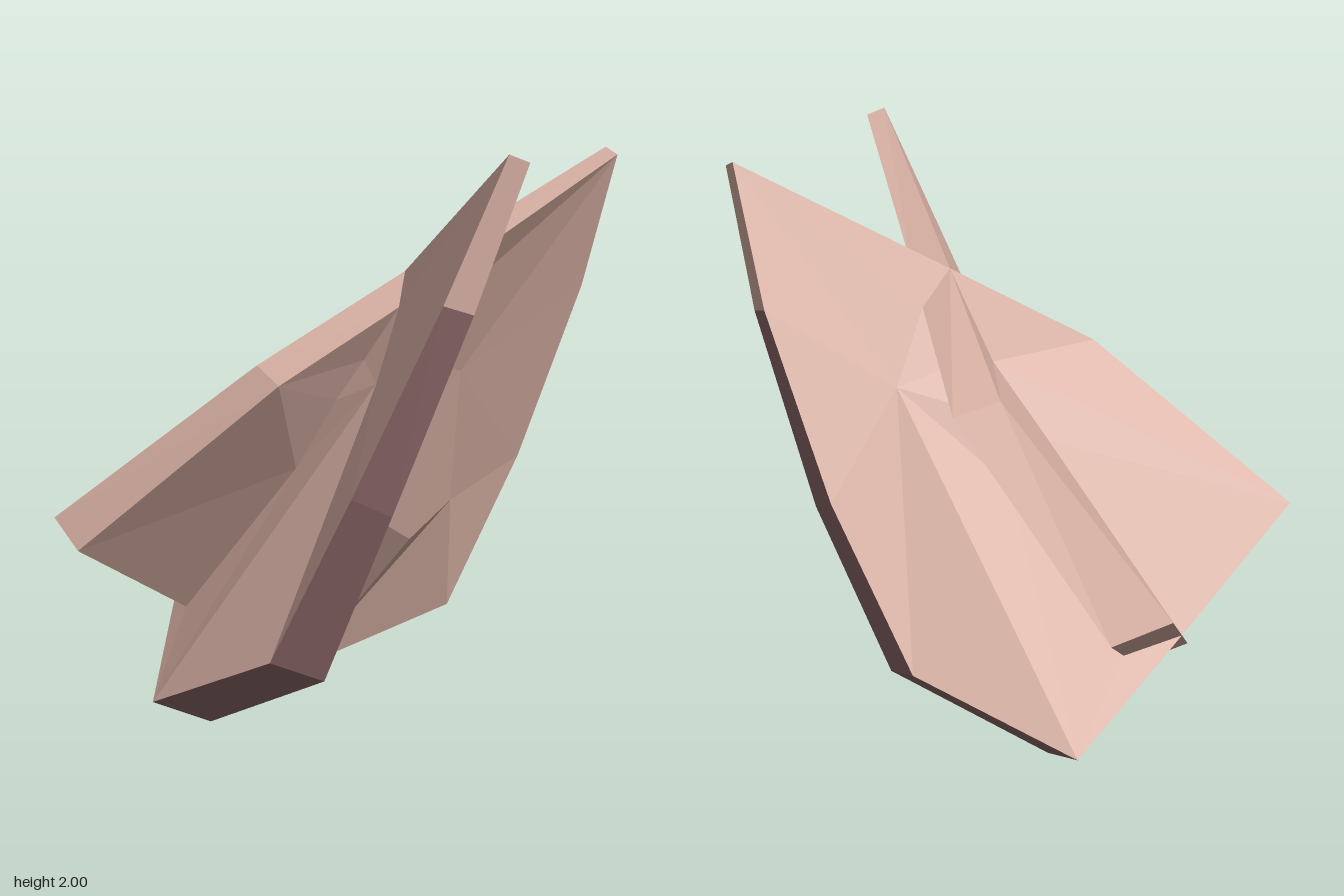
import * as THREE from 'three';

// Corner points of the +z half; the other half is mirrored across z = 0
const P = {
  // upper blade: tip, rim, and the valley between the two upper blades
  tipIn: [-0.855, 0.72, 0.525], tipOut: [-0.69, 0.64, 0.63],
  rimIn: [-0.14, 1.28, 0.35], rimOut: [-0.01, 1.23, 0.44],
  crown: [0.25, 1.585, 0], crownOut: [0.285, 1.475, 0.13],
  v0: [-0.67, 0.38, 0], v1: [-0.14, 1.015, 0], v2: [0.08, 1.27, 0],
  // side valley where the blades meet
  j0: [-0.53, 0.35, 0.18], j1: [-0.08, 0.9, 0.18], j2: [0.07, 1.15, 0.17], j3: [0.16, 1.29, 0.14],
  // lower blade: outer (o) and inner (i) rim, from the top tip down
  o0: [0.80, 2.0, 0.475], i0: [0.855, 1.975, 0.44],
  o1: [0.63, 1.54, 0.575], i1: [0.71, 1.51, 0.52],
  o2: [0.35, 0.92, 0.64], i2: [0.46, 0.86, 0.57],
  o3: [0.05, 0.34, 0.63], i3: [0.20, 0.27, 0.53],
  o4: [-0.50, 0.08, 0.47], i4: [-0.33, 0, 0.36],
  m: [0.285, 1.24, 0.31],
  // lower blade: recessed underside and its centre line
  d: [0.41, 1.585, 0], w2: [0.21, 1.30, 0], w1: [0, 0.77, 0], n: [-0.47, 0.235, 0],
  k1: [0.13, 0.56, 0.33], k2: [0.25, 0.70, 0.43], k3: [0.345, 1.21, 0.28],
};

// Each part is a list of polygons, corners counter-clockwise from outside
const parts = {
  upperBladeInside: ['tipIn v1 v0', 'tipIn rimIn v2 v1', 'rimIn crown v2'],
  upperBladeRim: ['tipIn tipOut rimOut rimIn', 'rimIn rimOut crownOut crown'],
  upperBladeEnd: ['tipIn v0 j0 tipOut'],
  upperBladeUnderside: ['tipOut j0 j1', 'tipOut j1 rimOut', 'rimOut j1 j2', 'rimOut j2 j3', 'rimOut j3 crownOut'],
  lowerBladeOutside: ['crown crownOut o0', 'crownOut m o0', 'crownOut j3 m', 'm o1 o0', 'm o2 o1', 'm o3 o2',
    'm o4 o3', 'j3 j2 m', 'j2 j1 m', 'j1 o4 m', 'j1 j0 o4', 'j0 v0 o4'],
  lowerBladeTopEnd: ['o0 i0 d crown'],
  lowerBladeBottomEnd: ['v0 n i4 o4'],
  lowerBladeTipRim: ['o0 o1 i1 i0'],
  lowerBladeRim: [1, 2, 3].map((k) => `o${k} o${k + 1} i${k + 1} i${k}`),
  lowerBladeUnderside: ['n w1 k1 i4', 'k1 k2 i4', 'k2 i3 i4', 'k2 i2 i3', 'k2 k3 i2', 'k3 i1 i2', 'k3 i0 i1',
    'd i0 w2', 'w2 i0 k3', 'w1 w2 k3', 'w1 k3 k1', 'k1 k3 k2'],
};

// Flat-faceted surface from polygons; side = -1 mirrors it in z
function facets(polygons, side) {
  const pos = [];
  for (const polygon of polygons) {
    const c = polygon.split(' ').map((name) => P[name]);
    if (side < 0) c.reverse();
    for (let k = 1; k < c.length - 1; k++) {
      for (const [x, y, z] of [c[0], c[k], c[k + 1]]) pos.push(x, y, z * side);
    }
  }
  const geometry = new THREE.BufferGeometry();
  geometry.setAttribute('position', new THREE.Float32BufferAttribute(pos, 3));
  geometry.computeVertexNormals();
  return geometry;
}

export function createModel() {
  const skin = new THREE.MeshStandardMaterial({ color: 0xd9b1a4, flatShading: true, side: THREE.DoubleSide });
  skin.name = 'pale pink';
  const edge = new THREE.MeshStandardMaterial({ color: 0x8f696a, flatShading: true, side: THREE.DoubleSide });
  edge.name = 'mauve';

  const model = new THREE.Group();
  model.name = 'crossedBlades';
  for (const side of [1, -1]) {
    const half = new THREE.Group();
    half.name = side > 0 ? 'frontHalf' : 'backHalf';
    for (const [name, polygons] of Object.entries(parts)) {
      const mesh = new THREE.Mesh(facets(polygons, side), name === 'lowerBladeRim' ? edge : skin);
      mesh.name = name;
      half.add(mesh);
    }
    model.add(half);
  }
  return model;
}
